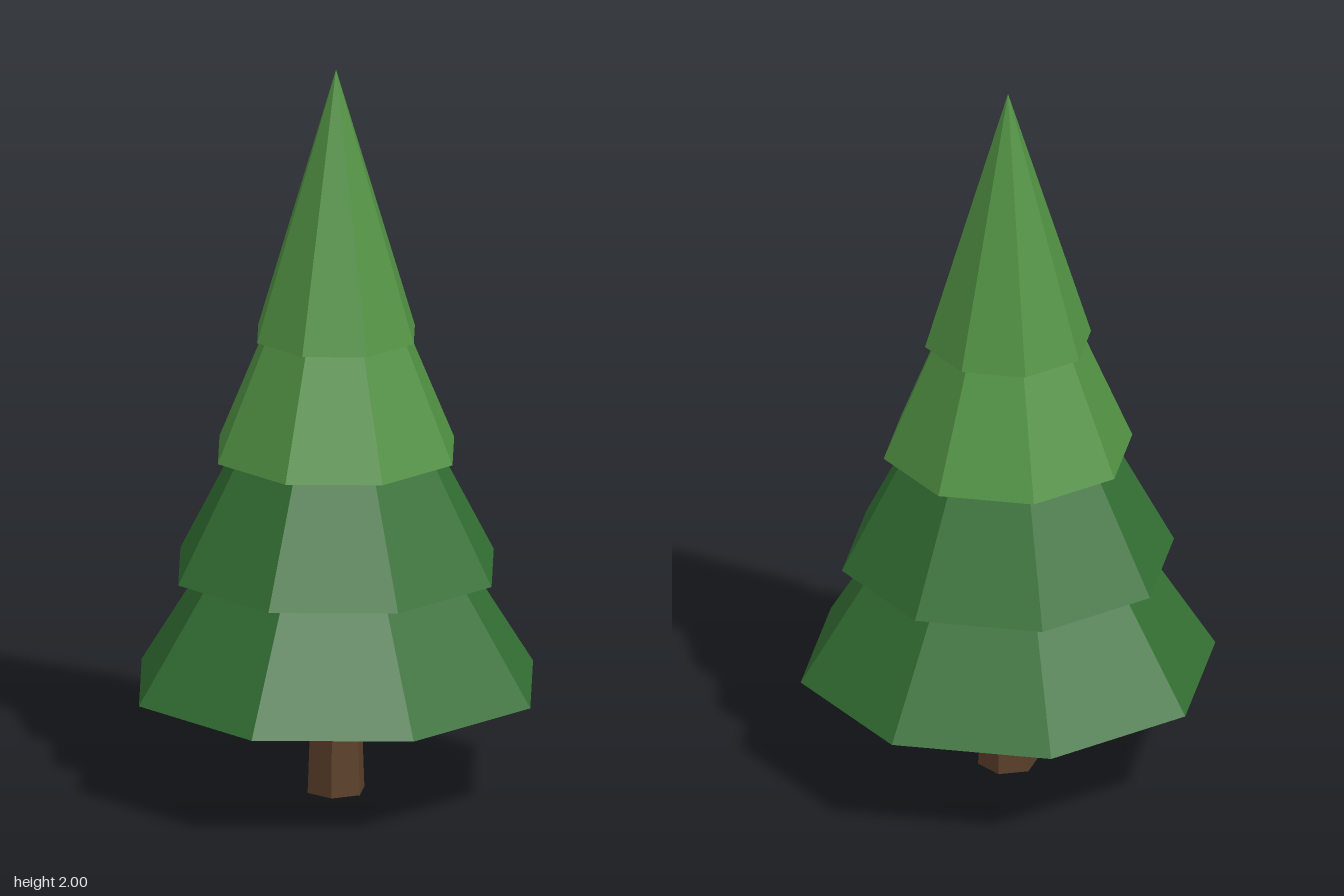
import * as THREE from 'three';

export function createModel() {
  const tree = new THREE.Group();
  tree.name = 'pineTree';

  const material = (name, color) => {
    const m = new THREE.MeshStandardMaterial({ color, flatShading: true });
    m.name = name;
    return m;
  };
  const bark = material('barkBrown', 0x5c3f2a);
  const darkGreen = material('darkGreen', 0x347034);
  const lightGreen = material('lightGreen', 0x519243);

  // Tapered six-sided trunk, with corners on the x axis
  const trunkHeight = 0.4;
  const trunk = new THREE.Mesh(
    new THREE.CylinderGeometry(0.066, 0.081, trunkHeight, 6, 1, false, Math.PI / 6),
    bark
  );
  trunk.name = 'trunk';
  trunk.position.y = trunkHeight / 2;
  tree.add(trunk);

  // Four overlapping eight-sided cones: base height, radius, cone height, colour
  const tiers = [
    ['bottomBranches', 0.295, 0.562, 0.9, darkGreen],
    ['lowerBranches', 0.618, 0.45, 0.86, darkGreen],
    ['upperBranches', 0.942, 0.337, 0.8, lightGreen],
    ['topBranches', 1.265, 0.225, 0.735, lightGreen],
  ];
  for (const [name, base, radius, height, mat] of tiers) {
    const tier = new THREE.Mesh(new THREE.ConeGeometry(radius, height, 8), mat);
    tier.name = name;
    tier.position.y = base + height / 2;
    tree.add(tier);
  }

  return tree;
}
